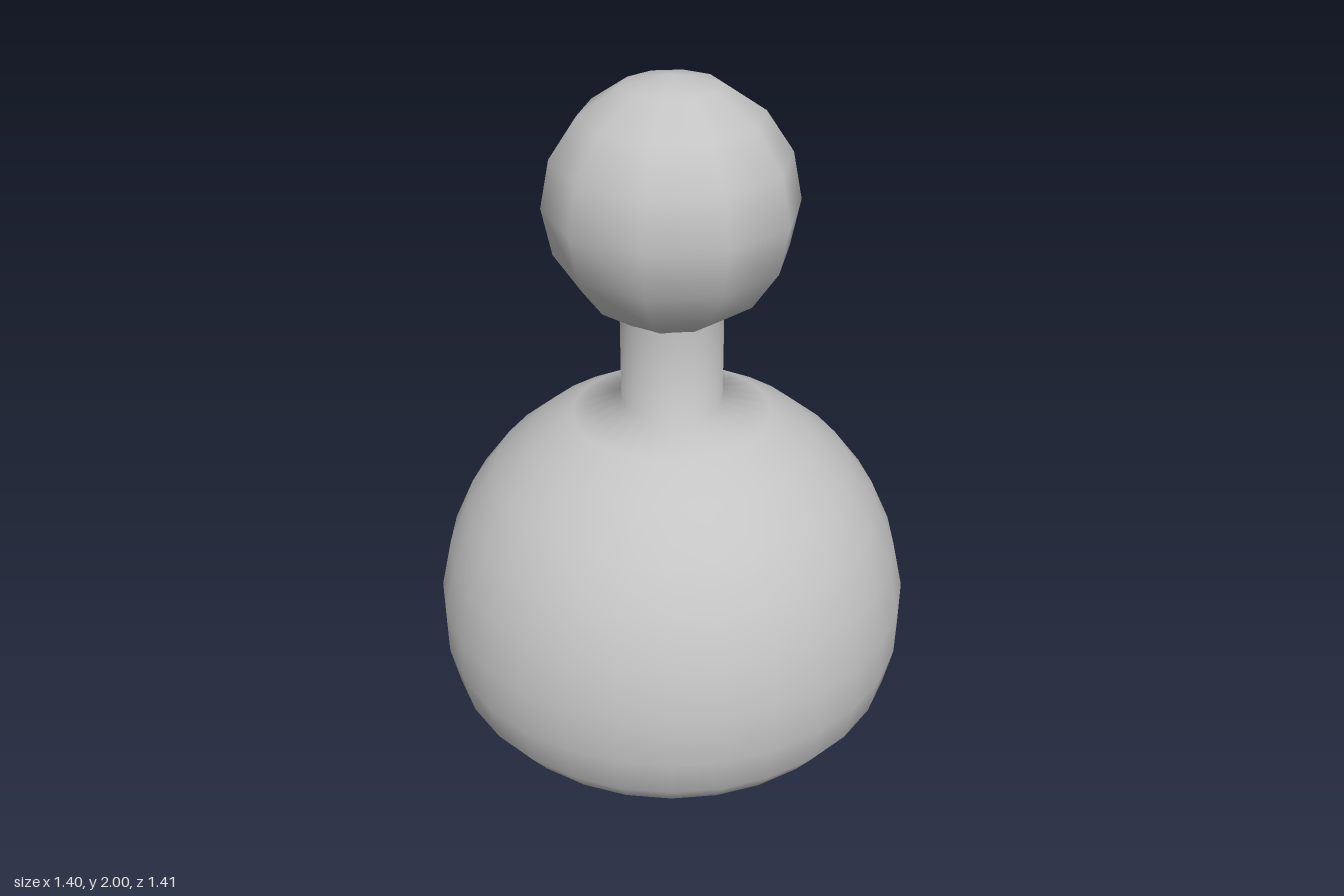
import * as THREE from 'three';

export function createModel() {
  const group = new THREE.Group();
  const grey = new THREE.MeshStandardMaterial({ color: 0xc4c4c4 });
  grey.name = 'grey';

  // Rounded body flowing into a straight neck, one smooth turned surface
  const profile = [
    [0, 0], [0.2, 0.002], [0.4, 0.008], [0.53, 0.033], [0.62, 0.082], [0.68, 0.165],
    [0.706, 0.29], [0.706, 0.435], [0.672, 0.585], [0.612, 0.72], [0.525, 0.838],
    [0.413, 0.935], [0.288, 1.01], [0.147, 1.055], [0.147, 1.336],
  ].map(([r, y]) => new THREE.Vector2(r, y));
  const body = new THREE.Mesh(new THREE.LatheGeometry(profile, 30), grey);
  body.name = 'bodyAndNeck';
  group.add(body);

  // Ball head, ten sides with a corner facing front
  const ball = new THREE.SphereGeometry(0.353, 10, 8);
  ball.rotateY(Math.PI / 2);
  const head = new THREE.Mesh(ball, grey);
  head.name = 'head';
  head.position.y = 1.647;
  group.add(head);

  return group;
}
